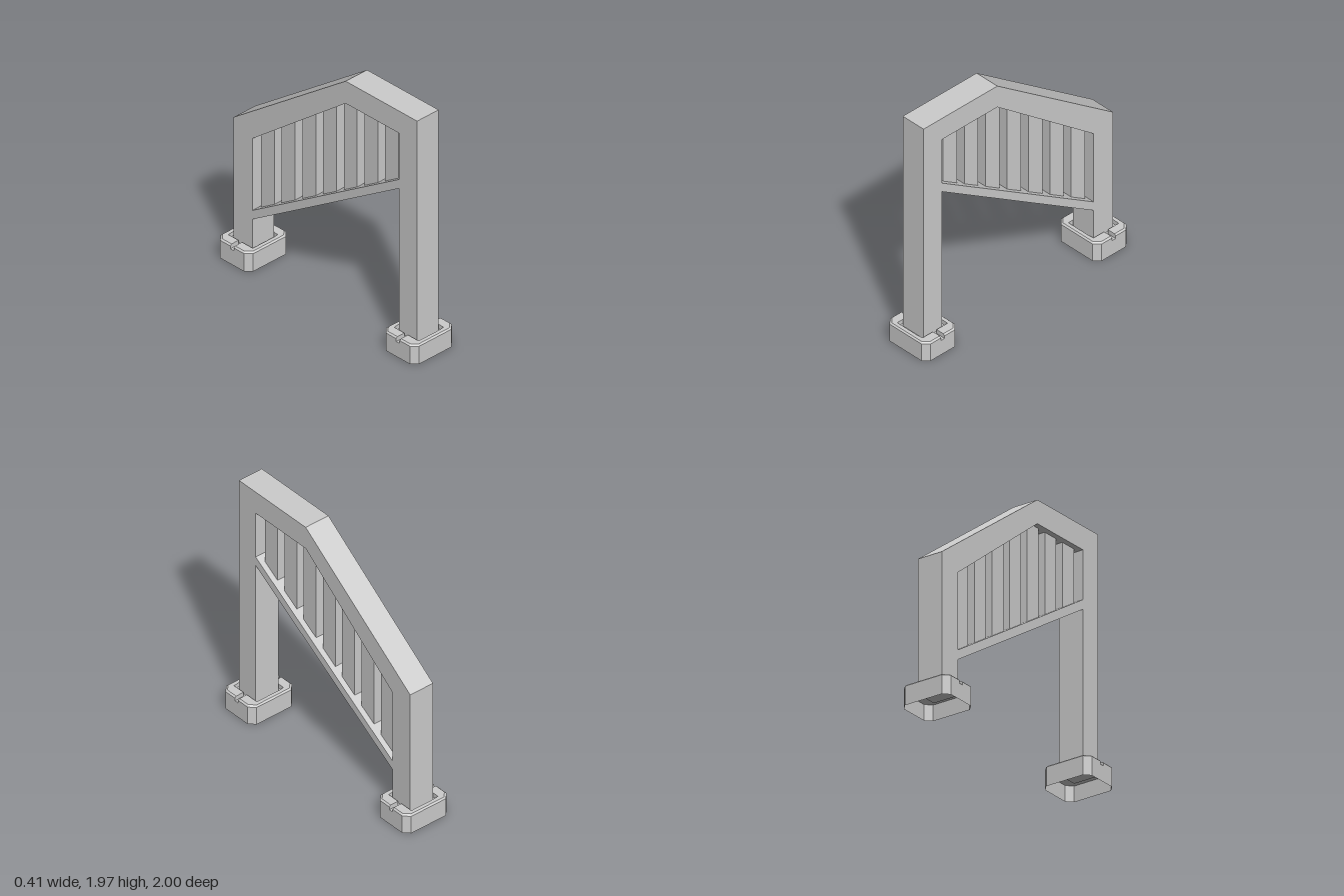
import * as THREE from 'three';

const material = new THREE.MeshStandardMaterial({ color: 0xcccccc, flatShading: true });
const shellMaterial = new THREE.MeshStandardMaterial({
  color: 0xcccccc, flatShading: true, side: THREE.DoubleSide });

const shapeOf = (points) => new THREE.Shape(points.map(([a, b]) => new THREE.Vector2(a, b)));

function addMesh(parent, name, geometry, mat = material) {
  const mesh = new THREE.Mesh(geometry, mat);
  mesh.name = name;
  parent.add(mesh);
  return mesh;
}

// Profile drawn in (z, y), extruded across x and centred on x = 0
function sideProfile(shape, width) {
  const geometry = new THREE.ExtrudeGeometry(shape, { depth: width, bevelEnabled: false });
  geometry.translate(0, 0, -width / 2);
  geometry.rotateY(-Math.PI / 2);
  return geometry;
}

// Plan drawn in (x, z), extruded upwards with the underside left open
function openExtrusion(points, depth, steps = 1) {
  const source = new THREE.ExtrudeGeometry(shapeOf(points), { depth, steps, bevelEnabled: false });
  const p = source.attributes.position;
  const kept = [];
  for (let i = 0; i < p.count; i += 3) {
    if (Math.max(p.getZ(i), p.getZ(i + 1), p.getZ(i + 2)) < 1e-6) continue;
    for (let k = i; k < i + 3; k++) kept.push(p.getX(k), p.getY(k), p.getZ(k));
  }
  const geometry = new THREE.BufferGeometry();
  geometry.setAttribute('position', new THREE.Float32BufferAttribute(kept, 3));
  return geometry;
}

const HX = 0.205, HZ = 0.165, CUT = 0.045;  // foot half sizes and corner cut
const POCKET = 0.125, SLOT = 0.018;         // pocket and slot half widths
const FLOOR = 0.125, TOP = 0.16;            // pocket floor and rim heights

function createFoot() {
  const foot = new THREE.Group();

  // Hollow lower body, closed by the pocket floor
  const halfOutline = [[HX, HZ - CUT], [HX - CUT, HZ], [CUT - HX, HZ], [-HX, HZ - CUT]];
  const outline = [...halfOutline, ...halfOutline.map(([x, z]) => [-x, -z])];
  const body = openExtrusion(outline, FLOOR);
  body.rotateX(-Math.PI / 2);
  body.computeVertexNormals();
  addMesh(foot, 'footBody', body, shellMaterial);

  // Half of the rim around the pocket, with its outer top edge chamfered
  const rim = openExtrusion([
    [HX, SLOT], ...halfOutline, [-HX, SLOT], [-POCKET, SLOT],
    [-POCKET, POCKET], [POCKET, POCKET], [POCKET, SLOT],
  ], TOP - FLOOR, 2);
  const p = rim.attributes.position;
  for (let i = 0; i < p.count; i++) {
    const x = p.getX(i), y = p.getY(i), z = p.getZ(i);
    const isOuter = Math.abs(x) > POCKET + 0.01 || y > POCKET + 0.01;
    if (z > TOP - FLOOR - 1e-4) {
      if (isOuter) p.setXY(i, x * 0.94, y > SLOT + 0.01 ? y * 0.93 : y);
    } else if (z > 1e-4) p.setZ(i, TOP - FLOOR - 0.012);
  }
  rim.rotateX(-Math.PI / 2);
  rim.translate(0, FLOOR, 0);
  rim.computeVertexNormals();
  addMesh(foot, 'footRim', rim, shellMaterial);
  addMesh(foot, 'footRim', rim, shellMaterial).rotation.y = Math.PI;
  return foot;
}

export function createModel() {
  const model = new THREE.Group();
  model.name = 'stairRailing';

  // Posts, handrail and lower rail in one frame
  const postBottom = 0.1;
  const frame = shapeOf([
    [0.925, postBottom], [0.925, 1.97], [0.205, 1.97], [-0.925, 1.145], [-0.925, postBottom],
    [-0.735, postBottom], [-0.735, 0.38], [0.745, 1.325], [0.745, postBottom],
  ]);
  frame.holes.push(shapeOf([
    [0.745, 1.4], [0.745, 1.785], [0.205, 1.785], [-0.735, 1.055], [-0.735, 0.455],
  ]));
  addMesh(model, 'frame', sideProfile(frame, 0.21));

  // Balusters, sunk slightly into both rails
  const lower = (z) => 0.435 + (z + 0.735) * 0.6385;
  const upper = (z) => Math.min(1.785, 1.055 + (z + 0.735) * 0.7766) + 0.02;
  for (let i = 0; i < 7; i++) {
    const z = 0.627 - i * 0.2085, a = z - 0.0675, b = z + 0.0675;
    const top = [[b, upper(b)], [a, upper(a)]];
    if (a < 0.205 && b > 0.205) top.splice(1, 0, [0.205, upper(0.205)]);
    const baluster = shapeOf([[a, lower(a)], [b, lower(b)], ...top]);
    addMesh(model, 'baluster', sideProfile(baluster, 0.124));
  }

  // Feet under the two posts
  for (const [name, side] of [['frontFoot', 1], ['backFoot', -1]]) {
    const foot = createFoot();
    foot.name = name;
    foot.position.z = side * 0.835;
    model.add(foot);
  }
  return model;
}
